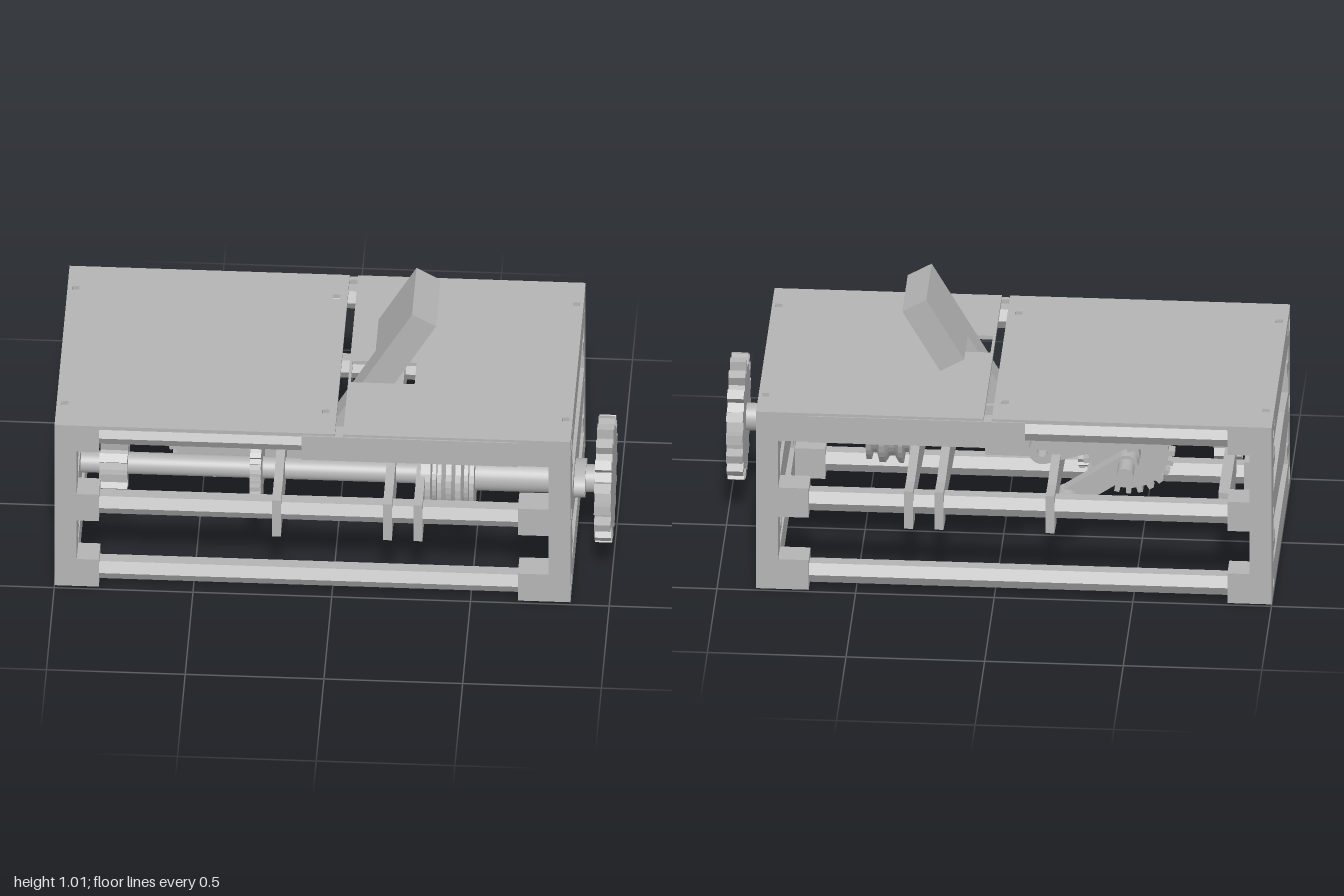
import * as THREE from 'three';

const grey = new THREE.MeshStandardMaterial({ color: 0xb4b4b4 });
grey.name = 'plain grey';

export function createModel() {
  const root = new THREE.Group();
  root.name = 'mechanicalSwitchBox';
  const add = (name, geo) => {
    const m = new THREE.Mesh(geo, grey);
    m.name = name;
    root.add(m);
    return m;
  };
  // box given by its limits
  const box = (name, x0, x1, y0, y1, z0, z1) => add(name,
    new THREE.BoxGeometry(x1 - x0, y1 - y0, z1 - z0).translate((x0 + x1) / 2, (y0 + y1) / 2, (z0 + z1) / 2));
  const poly = (pts, C = THREE.Shape) => new C(pts.map(p => new THREE.Vector2(p[0], p[1])));
  const rect = (x0, x1, y0, y1) => poly([[x0, y0], [x1, y0], [x1, y1], [x0, y1]], THREE.Path);
  const extrude = (s, depth) => new THREE.ExtrudeGeometry(s, { depth, bevelEnabled: false, curveSegments: 10 });
  // profile in (z, y) swept along x
  const alongX = (name, s, x0, x1) => add(name, extrude(s, x1 - x0).rotateY(-Math.PI / 2).translate(x1, 0, 0));
  // profile in (x, y) swept along z
  const alongZ = (name, s, z0, z1) => add(name, extrude(s, z1 - z0).translate(0, 0, z0));
  // profile in (x, z) swept along y
  const alongY = (name, s, y0, y1) => add(name, extrude(s, y1 - y0).rotateX(Math.PI / 2).translate(0, y1, 0));
  const gear = (cx, cy, rIn, rOut, n, turn = 0) => {
    const pts = [];
    for (let i = 0; i < n; i++) {
      [[-0.25, rIn], [-0.21, rOut], [0.21, rOut], [0.25, rIn]].forEach(([f, r]) => {
        const a = (i + f) / n * Math.PI * 2 + turn;
        pts.push([cx + r * Math.cos(a), cy + r * Math.sin(a)]);
      });
    }
    return poly(pts);
  };
  const cylX = (name, r, x0, x1, y, z, seg = 32) => add(name,
    new THREE.CylinderGeometry(r, r, x1 - x0, seg).rotateZ(Math.PI / 2).translate((x0 + x1) / 2, y, z));
  // rounded bar from a to b with an eye at each end
  const link = (name, a, b, r, z0, z1) => {
    const t = Math.atan2(b[1] - a[1], b[0] - a[0]), s = new THREE.Shape();
    s.absarc(b[0], b[1], r, t - Math.PI / 2, t + Math.PI / 2, false);
    s.absarc(a[0], a[1], r, t + Math.PI / 2, t + Math.PI * 1.5, false);
    for (const p of [a, b]) s.holes.push(new THREE.Path().absarc(p[0], p[1], r * 0.4, 0, Math.PI * 2, true));
    return alongZ(name, s, z0, z1);
  };

  const W = 0.485, IN = 0.385, rodZ = 0.436, rodY = [0.057, 0.347, 0.657], shaftY = 0.343, shaftZ = 0.193;

  // end frames: outer uprights, three cross bars, rod sockets
  const endShape = () => {
    const s = poly([[-W, 0], [W, 0], [W, 0.7], [-W, 0.7]]);
    s.holes.push(poly([[-IN, 0.12], [IN, 0.12], [IN, 0.29], [shaftZ, 0.245], [-IN, 0.295]], THREE.Path));
    s.holes.push(poly([[-IN, 0.407], [shaftZ, 0.43], [IN, 0.41], [IN, 0.6], [-IN, 0.6]], THREE.Path));
    for (const k of [-1, 1]) {
      s.holes.push(rect(k * 0.35 - 0.012, k * 0.35 + 0.012, 0.655, 0.684));
      for (const y of rodY) for (const d of [-1, 1]) {
        const z = k * rodZ;
        s.holes.push(poly([[z + d * 0.045, y], [z + d * 0.023, y + 0.038], [z + d * 0.023, y - 0.038]], THREE.Path));
      }
    }
    return s;
  };
  alongX('rightEndFrame', endShape(), 0.78, 0.86);
  alongX('leftEndFrame', endShape(), -1, -0.92);

  for (const k of [-1, 1]) {
    const zs = [k * IN, k * W].sort((a, b) => a - b);
    // hexagonal rods and the clamp blocks holding them
    for (const y of rodY) {
      const hex = [];
      for (let i = 0; i < 6; i++) hex.push([k * rodZ + 0.044 * Math.cos(i * Math.PI / 3), y + 0.044 * Math.sin(i * Math.PI / 3)]);
      alongX('hexRod', poly(hex), -0.93, 0.79);
    }
    for (const [y0, y1] of [[0, 0.12], [0.292, 0.41], [0.6, 0.7]]) {
      box('rodBlock', 0.67, 0.78, y0, y1, ...zs);
      box('rodBlock', -0.92, -0.84, y0, y1, ...zs);
    }
    // small hooks inside the uprights
    for (const y of [0.165, 0.502]) for (const [x0, x1] of [[0.78, 0.86], [-1, -0.92]]) {
      const z = k * 0.32;
      alongX('hook', poly([[k * IN, y], [z, y], [z, y + 0.06], [z + k * 0.018, y + 0.06], [z + k * 0.018, y + 0.037], [k * IN, y + 0.037]]), x0, x1);
    }
    // side skirts of the lid
    box('lidSkirt', -0.11, 0.67, 0.6, 0.705, ...[k * 0.472, k * 0.49].sort((a, b) => a - b));
  }

  // lid panels with screw holes and the lever slot
  const panel = (x0, x1, holes) => {
    const s = poly([[x0, -W], [x1, -W], [x1, W], [x0, W]]);
    for (const x of holes) for (const z of [-0.35, 0.35]) s.holes.push(rect(x - 0.013, x + 0.013, z - 0.013, z + 0.013));
    return s;
  };
  alongY('leftLid', panel(-1, 0.01, [-0.97, -0.03]), 0.7, 0.715);
  const rightLid = panel(0.04, 0.86, [0.835]);
  rightLid.holes.push(rect(0.05, 0.28, 0.035, 0.165));
  alongY('rightLid', rightLid, 0.7, 0.715);

  // switch lever leaning 30 degrees, built upright and then turned
  const lever = poly([[0.145, 0], [0.145, 0.6], [-0.14, 0.6], [-0.14, 0.327], [0.05, 0.327], [0.05, 0]]);
  const leverGeo = extrude(lever, 0.1).rotateY(-Math.PI / 2).translate(0.05, 0, 0).rotateZ(-Math.PI / 6).translate(0.013, 0.466, 0);
  add('switchLever', leverGeo);
  alongZ('leverBracket', poly([[-0.18, 0.3], [0.07, 0.3], [0.07, 0.5], [-0.1, 0.5], [-0.18, 0.42]]), 0.035, 0.16);

  // drive shaft, outer drive wheel and hub
  cylX('driveShaft', 0.04, -0.97, 0.95, shaftY, shaftZ);
  cylX('shaftSleeve', 0.058, 0.5, 0.78, shaftY, shaftZ);
  alongX('driveWheel', gear(shaftZ, shaftY, 0.19, 0.23, 17, 0.1), 0.94, 1);
  add('wheelHub', new THREE.CylinderGeometry(1, 1, 0.04, 24).rotateZ(Math.PI / 2).scale(1, 0.055, 0.095).translate(0.88, shaftY, shaftZ));
  cylX('hubNeck', 0.05, 0.89, 0.945, shaftY, shaftZ);

  // grooved drum
  const drumProfile = [[0, 0.31], [0.145, 0.31], [0.145, 0.345], [0.11, 0.35], [0.11, 0.365], [0.15, 0.37], [0.15, 0.385],
    [0.125, 0.4], [0.125, 0.42], [0.15, 0.435], [0.15, 0.455], [0.115, 0.465], [0.115, 0.48], [0.14, 0.485], [0.14, 0.502], [0, 0.502]];
  const drum = [];
  drumProfile.forEach((p, i) => {
    if (i) drum.push(new THREE.Vector2(...drumProfile[i - 1]), new THREE.Vector2(...p));
  });
  add('groovedDrum', new THREE.LatheGeometry(drum, 32).rotateZ(-Math.PI / 2).translate(0, shaftY, shaftZ).toNonIndexed());

  // crossed gear pair and the cam wheel
  alongX('shaftGear', gear(shaftZ, shaftY + 0.02, 0.14, 0.165, 24), -0.305, -0.265);
  alongZ('crankGear', gear(-0.45, 0.347, 0.145, 0.167, 24), 0, 0.04);
  alongX('camWheel', gear(shaftZ, shaftY, 0.065, 0.1, 8), -0.85, -0.75);
  add('crankPin', new THREE.CylinderGeometry(0.03, 0.03, 0.22, 20).rotateX(Math.PI / 2).translate(-0.45, 0.347, -0.08));

  // pusher finger and linkage
  link('pusherArm', [-0.5, 0.53], [-0.15, 0.42], 0.05, -0.16, -0.11);
  link('crankArm', [-0.43, 0.5], [-0.45, 0.347], 0.045, -0.06, 0);
  link('rollerArm', [-0.45, 0.347], [-0.235, 0.2], 0.042, -0.11, -0.06);
  add('roller', new THREE.CylinderGeometry(0.045, 0.045, 0.1, 24).rotateX(Math.PI / 2).translate(-0.235, 0.2, -0.11));
  alongZ('finger', poly([[-0.56, 0.49], [-0.46, 0.45], [-0.435, 0.685], [-0.46, 0.697], [-0.5, 0.697]]), -0.205, -0.155);
  alongZ('fingerPad', poly([[-0.54, 0.56], [-0.47, 0.56], [-0.44, 0.69], [-0.5, 0.69]]), -0.155, -0.025);

  // cross beams clipped on the middle rods
  const beam = () => poly([[-0.485, 0.26], [-0.38, 0.245], [-0.33, 0.3], [-0.25, 0.3], [0.08, 0.27], [0.19, 0.25], [0.3, 0.27],
    [0.38, 0.25], [0.485, 0.25], [0.485, 0.41], [0.38, 0.41], [0.19, 0.43], [-0.38, 0.4], [-0.485, 0.41]]);
  for (const x of [-0.2, 0.2, 0.31]) alongX('crossBeam', beam(), x - 0.016, x + 0.016);
  alongX('toothedBeam', poly([[-0.38, 0.3], [-0.33, 0.245], [-0.28, 0.27], [-0.24, 0.245], [-0.18, 0.27], [-0.14, 0.245],
    [-0.06, 0.25], [0, 0.3], [0, 0.39], [-0.38, 0.39]]), -0.84, -0.8);

  // curved follower beside the drum
  const path = new THREE.CatmullRomCurve3([[0.54, 0.44, 0.1], [0.64, 0.44, 0.1], [0.7, 0.4, 0.1], [0.72, 0.32, 0.1]].map(p => new THREE.Vector3(...p)));
  add('follower', new THREE.TubeGeometry(path, 16, 0.022, 10));

  // give every part crisp or smooth normals of its own
  root.traverse(o => {
    if (o.name === 'groovedDrum') o.geometry.computeVertexNormals();
  });
  return root;
}
